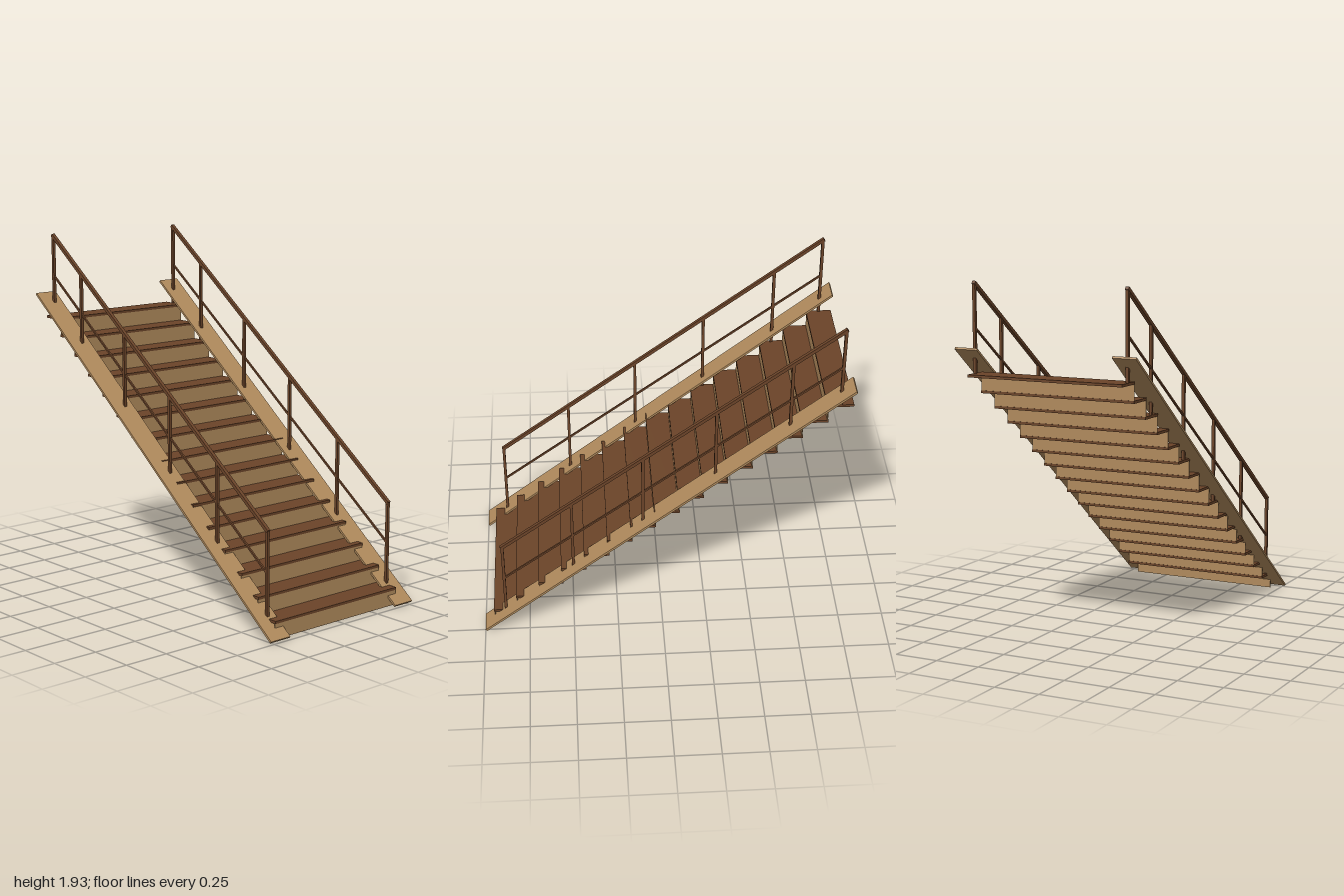
import * as THREE from 'three';

export function createModel() {
  const model = new THREE.Group();
  const brown = new THREE.MeshStandardMaterial({ name: 'darkWood', color: 0x6b4429 });
  const tan = new THREE.MeshStandardMaterial({ name: 'lightWood', color: 0xb08a5c });

  const box = (name, w, h, d, x, y, z, material) => {
    const mesh = new THREE.Mesh(new THREE.BoxGeometry(w, h, d), material);
    mesh.name = name;
    mesh.position.set(x, y, z);
    model.add(mesh);
    return mesh;
  };

  // Straight bar or plank between two points [z, y] at a given x
  const slope = (name, w, t, x, [z0, y0], [z1, y1], material) => {
    const mesh = box(name, w, t, Math.hypot(z1 - z0, y1 - y0), x, (y0 + y1) / 2, (z0 + z1) / 2, material);
    mesh.rotation.x = Math.atan2(y1 - y0, z0 - z1);
  };

  const steps = 15, rise = 0.097, run = 0.1293, depth = 0.14, thick = 0.014, width = 0.89;
  const treadTop = (i) => rise * (i + 1);
  const treadFront = (i) => 0.95 - run * i;
  const treadMid = (i) => treadFront(i) - depth / 2;

  // Treads and the risers below their front edges
  for (let i = 0; i < steps; i++) {
    const top = treadTop(i);
    box('tread', width, thick, depth, 0, top - thick / 2, treadMid(i), brown);
    const h = rise - thick;
    box('riser', width, h, 0.004, 0, top - thick - h / 2, treadFront(i) - 0.006, tan);
  }

  const railHeight = 0.463, midHeight = 0.236, last = steps - 1;
  for (const side of [-1, 1]) {
    // Flat sloping side plank
    slope('sidePlank', 0.133, 0.012, side * 0.4545, [0.996, 0.013], [-0.996, 1.587], tan);

    // Posts standing on the treads
    const x = side * 0.44;
    for (const i of [0, 3, 6, 9, 12, last]) {
      box('post', 0.016, railHeight, 0.016, x, treadTop(i) + railHeight / 2, treadMid(i), brown);
    }

    // Handrail and thinner middle rail
    const at = (i, h, dz) => [treadMid(i) + dz, treadTop(i) + h - dz * rise / run];
    slope('handrail', 0.02, 0.018, x, at(0, railHeight, 0.006), at(last, railHeight, -0.006), brown);
    slope('middleRail', 0.01, 0.01, x, at(0, midHeight, 0), at(last, midHeight, 0), brown);
  }

  return model;
}
